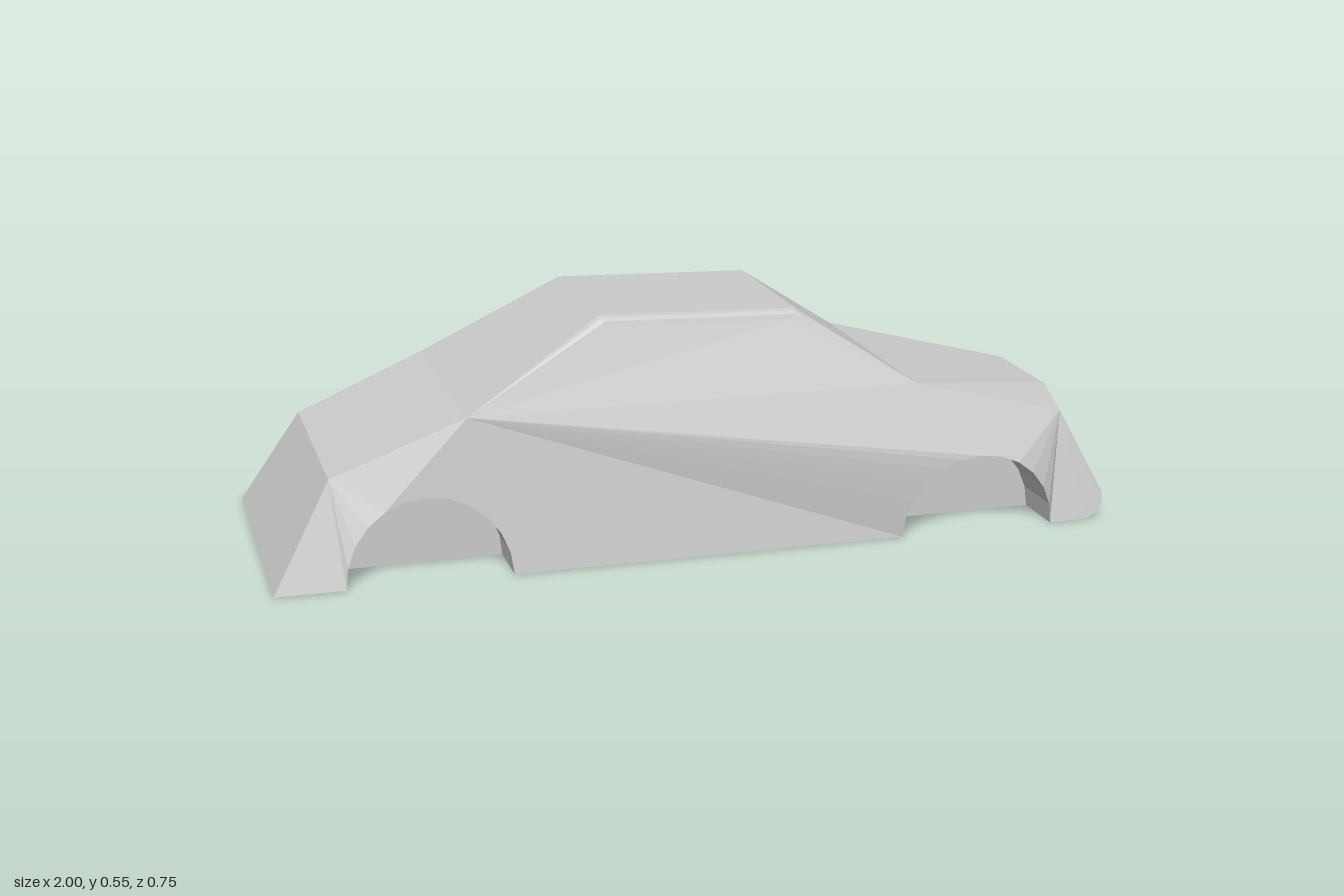
import * as THREE from 'three';

const material = new THREE.MeshStandardMaterial({ color: 0xcccccc, flatShading: true });
const P = (x, y, z) => new THREE.Vector3(x, y, z);
const mirror = (p) => P(p.x, p.y, -p.z);

// Collects faces described on the left (+z) half and mirrors them to the right.
function part(name, build) {
  const points = [];
  const add = (...ps) => ps.forEach((p) => points.push(p));
  const tri = (a, b, c) => {
    add(a, b, c);
    add(mirror(a), mirror(c), mirror(b));
  };
  const quad = (a, b, c, d) => { tri(a, b, c); tri(a, c, d); };
  // panel running across the full width, from edge p to edge q
  const span = (p, q) => add(p, q, mirror(q), p, mirror(q), mirror(p));
  build({ tri, quad, span });
  const geometry = new THREE.BufferGeometry().setFromPoints(points);
  geometry.computeVertexNormals();
  const mesh = new THREE.Mesh(geometry, material);
  mesh.name = name;
  return mesh;
}

// Half-circle wheel opening, from its -x foot over the top to its +x foot.
const STEPS = 12, RADIUS = 0.19, SILL = 0.357, WELL = 0.22;
function arch(cx, flare) {
  return Array.from({ length: STEPS + 1 }, (_, i) => {
    const t = Math.PI * (1 - i / STEPS);
    const s = Math.sin(t);
    return P(cx + RADIUS * Math.cos(t), RADIUS * s, SILL + flare * s);
  });
}

export function createModel() {
  const car = new THREE.Group();
  car.name = 'carBody';

  // key corners of the left half
  const noseFoot = P(-1, 0, SILL), nose = P(-0.86, 0.235, 0.277);
  const beltFront = P(-0.55, 0.36, 0.303), beltRear = P(0.52, 0.36, 0.303);
  const tail = P(0.9, 0.26, 0.288), deckEdge = P(0.93, 0.283, 0.13);
  const bumper = [[0.985, 0.085, 0.33], [0.998, 0.06, 0.335], [1, 0.04, 0.338],
    [0.985, 0.014, 0.347], [0.95, 0, 0.355]].map((p) => P(...p));
  const frontArch = arch(-0.65, -0.03), rearArch = arch(0.665, 0.018);

  // rounded roof rail: inner top edge to outer lower edge
  const railFront = [], railRear = [];
  for (const [z, drop, inset] of [[0.205, 0, 0], [0.219, 0.003, 0.003], [0.227, 0.01, 0.008], [0.231, 0.021, 0.015]]) {
    railFront.push(P(-0.22 + inset, 0.55 - drop, z));
    railRear.push(P(0.25 - inset, 0.537 - drop, z));
  }

  car.add(part('sidePanels', ({ tri }) => {
    // lower edge points, each joined to an upper corner
    const frontFoot = frontArch[STEPS];
    const chain = [[noseFoot, nose]];
    frontArch.slice(0, STEPS).forEach((p, i) => chain.push([p, i < 4 ? nose : beltFront]));
    rearArch.forEach((p, i) => chain.push([p, i < 6 ? beltFront : i < 8 ? beltRear : tail]));
    [...bumper].reverse().forEach((p) => chain.push([p, tail]));
    for (let i = 1; i < chain.length; i++) {
      const [a, hubA] = chain[i - 1], [b, hubB] = chain[i];
      tri(a, b, hubA);
      if (hubA !== hubB) tri(b, hubB, hubA);
    }
    tri(frontArch[STEPS - 1], frontFoot, rearArch[0]);
  }));

  car.add(part('wheelWells', ({ tri, quad }) => {
    for (const edge of [frontArch, rearArch]) {
      const inner = edge.map((p) => P(p.x, p.y, WELL));
      const centre = P((edge[0].x + edge[STEPS].x) / 2, 0, WELL);
      for (let i = 0; i < STEPS; i++) {
        quad(edge[i], inner[i], inner[i + 1], edge[i + 1]);
        tri(centre, inner[i + 1], inner[i]);
      }
    }
  }));

  car.add(part('noseAndHood', ({ span }) => {
    span(noseFoot, nose);
    span(nose, beltFront);
  }));

  car.add(part('cabin', ({ tri, quad, span }) => {
    span(beltFront, railFront[0]);
    span(railFront[0], railRear[0]);
    span(railRear[0], beltRear);
    quad(beltFront, beltRear, railRear[3], railFront[3]);
    for (let i = 0; i < 3; i++) {
      quad(railFront[i + 1], railRear[i + 1], railRear[i], railFront[i]);
      tri(beltFront, railFront[i + 1], railFront[i]);
      tri(beltRear, railRear[i], railRear[i + 1]);
    }
  }));

  car.add(part('rearDeck', ({ tri, span }) => {
    span(beltRear, deckEdge);
    tri(beltRear, tail, deckEdge);
  }));

  car.add(part('tailAndBumper', ({ tri, span }) => {
    span(deckEdge, bumper[0]);
    tri(deckEdge, tail, bumper[0]);
    for (let i = 1; i < bumper.length; i++) span(bumper[i - 1], bumper[i]);
  }));

  car.add(part('underside', ({ span }) => {
    const floor = [noseFoot, frontArch[0], frontArch[STEPS], rearArch[0], rearArch[STEPS], bumper[4]];
    for (let i = 1; i < floor.length; i++) {
      const narrow = i % 2 === 0;
      const [a, b] = [floor[i - 1], floor[i]].map((p) => (narrow ? P(p.x, 0, WELL) : p));
      span(b, a);
    }
  }));

  car.position.z = 0.004;
  const model = new THREE.Group();
  model.name = 'car';
  model.add(car);
  return model;
}
